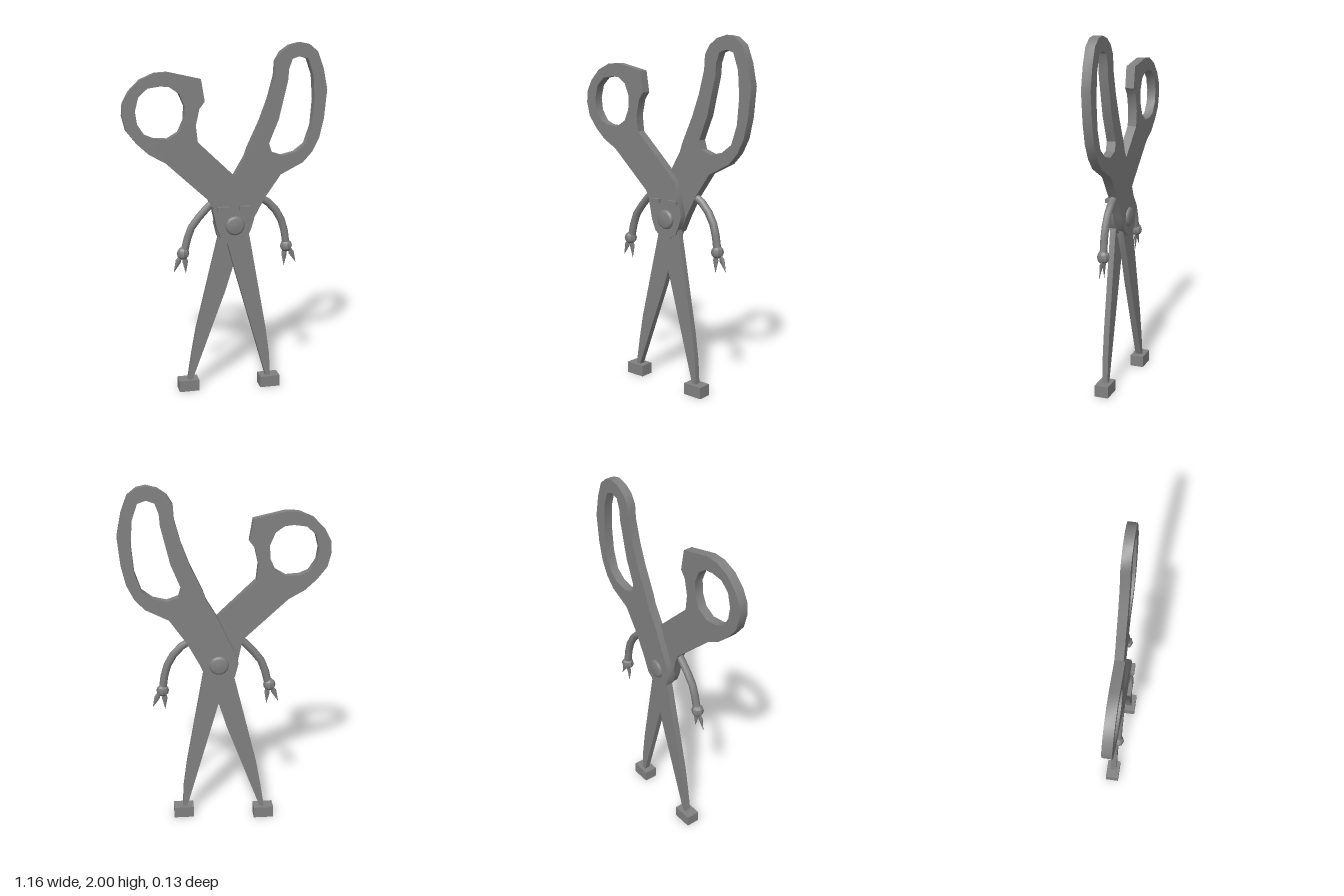
import * as THREE from 'three';
import { toCreasedNormals } from 'three/addons/utils/BufferGeometryUtils.js';

const material = new THREE.MeshStandardMaterial({ color: 0x808080 });
const points = (list) => list.map(([x, y]) => new THREE.Vector2(x, y));

export function createModel() {
  const model = new THREE.Group();
  model.name = 'scissorsFigure';

  function add(name, geometry, x = 0, y = 0, z = 0) {
    const mesh = new THREE.Mesh(geometry, material);
    mesh.name = name;
    mesh.position.set(x, y, z);
    model.add(mesh);
    return mesh;
  }

  // Flat plate cut from an outline, between two depths, with smooth curved rims
  function plate(name, outline, z0, z1, hole) {
    const shape = new THREE.Shape(points(outline));
    if (hole) shape.holes.push(new THREE.Path(points(hole)));
    const geometry = new THREE.ExtrudeGeometry(shape, { depth: z1 - z0, bevelEnabled: false });
    add(name, toCreasedNormals(geometry, 0.65), 0, 0, z0);
  }

  // Front half: thumb handle and the blade below it
  plate('thumbHandle', [
    [0.104, 1.21], [-0.17, 1.47], [-0.18, 1.56], [-0.16, 1.65], [-0.13, 1.69], [-0.15, 1.81],
    [-0.33, 1.85], [-0.4, 1.845], [-0.48, 1.81], [-0.54, 1.75], [-0.575, 1.685], [-0.58, 1.62],
    [-0.56, 1.54], [-0.505, 1.47], [-0.44, 1.41], [-0.35, 1.36], [-0.11, 1.14], [-0.09, 1.1],
    [-0.065, 0.98], [-0.04, 0.92], [0, 0.885], [0.06, 0.88], [0.11, 0.91], [0.135, 0.97], [0.15, 1.02],
  ], -0.01, 0.042, [
    [-0.37, 1.775], [-0.44, 1.765], [-0.49, 1.72], [-0.51, 1.645], [-0.5, 1.575], [-0.46, 1.515],
    [-0.41, 1.495], [-0.335, 1.49], [-0.275, 1.525], [-0.245, 1.59], [-0.24, 1.665], [-0.27, 1.735], [-0.32, 1.77],
  ]);
  plate('frontBlade', [
    [-0.02, 1.0], [0, 0.885], [0.037, 0.745], [0.232, 0.06], [0.258, 0.06], [0.25, 0.2],
    [0.228, 0.36], [0.127, 0.92], [0.1, 1.0],
  ], 0.002, 0.035);

  // Back half: long finger handle and the blade below it
  plate('fingerHandle', [
    [0.42, 2.0], [0.36, 1.985], [0.31, 1.95], [0.28, 1.9], [0.275, 1.82], [0.24, 1.69], [0.195, 1.57],
    [0.125, 1.42], [0.11, 1.375], [0.045, 1.265], [-0.045, 1.07], [-0.07, 1.0], [-0.05, 0.92], [0, 0.88],
    [0.06, 0.885], [0.115, 0.925], [0.155, 1.01], [0.22, 1.13], [0.315, 1.265], [0.445, 1.33],
    [0.5, 1.39], [0.54, 1.47], [0.565, 1.58], [0.58, 1.74], [0.555, 1.86], [0.52, 1.95], [0.47, 1.99],
  ], -0.046, 0.005, [
    [0.42, 1.925], [0.375, 1.91], [0.355, 1.855], [0.35, 1.79], [0.325, 1.685], [0.3, 1.58], [0.245, 1.445],
    [0.26, 1.395], [0.325, 1.372], [0.4, 1.39], [0.46, 1.435], [0.495, 1.54], [0.507, 1.685],
    [0.497, 1.82], [0.465, 1.91],
  ]);
  plate('backBlade', [
    [0.1, 1.0], [0.11, 0.92], [0.04, 0.745], [-0.005, 0.6], [-0.205, 0.06], [-0.23, 0.06],
    [-0.205, 0.22], [-0.178, 0.37], [-0.045, 0.92], [-0.02, 1.0],
  ], -0.035, 0.001);

  // Pivot screw with rounded rims on both faces
  const rim = [[0, -0.063], [0.04, -0.06], [0.05, -0.055], [0.055, -0.046],
    [0.055, 0.046], [0.05, 0.055], [0.04, 0.06], [0, 0.063]];
  add('pivotScrew', new THREE.LatheGeometry(points(rim), 24), 0.04, 0.99, 0).rotation.x = Math.PI / 2;

  // Eyes
  for (const x of [-0.03, 0.095]) add('eye', new THREE.BoxGeometry(0.066, 0.022, 0.025), x, 1.092, 0.051);

  // Feet, each centred under its own blade
  for (const [x, z] of [[-0.225, -0.02], [0.252, 0.02]]) {
    add('foot', new THREE.BoxGeometry(0.117, 0.066, 0.08), x, 0.033, z);
  }

  // Arms with a faceted hand and two flat pointed fingers
  function arm(side, z, path, hand, fingers) {
    const curve = new THREE.CatmullRomCurve3(path.map(([x, y]) => new THREE.Vector3(x, y, z)));
    add(side + 'Arm', new THREE.TubeGeometry(curve, 5, 0.022, 8));
    add(side + 'Hand', toCreasedNormals(new THREE.SphereGeometry(0.036, 8, 6), 0.5), hand[0], hand[1], z);
    for (const [bx, by, tx, ty] of fingers) {
      const length = Math.hypot(tx - bx, ty - by);
      const profile = points([[0.008, 0], [0.018, length * 0.35], [0, length]]);
      const finger = add(side + 'Finger', new THREE.LatheGeometry(profile, 6), bx, by, z);
      finger.rotation.z = Math.atan2(bx - tx, ty - by);
      finger.scale.z = 0.4;
    }
  }
  arm('right', 0.018, [[-0.07, 1.14], [-0.135, 1.075], [-0.21, 0.98], [-0.245, 0.86]], [-0.255, 0.84],
    [[-0.268, 0.83, -0.31, 0.73], [-0.245, 0.83, -0.24, 0.72]]);
  arm('left', -0.018, [[0.19, 1.14], [0.27, 1.085], [0.335, 0.98], [0.358, 0.86]], [0.36, 0.84],
    [[0.35, 0.83, 0.348, 0.72], [0.378, 0.83, 0.42, 0.735]]);

  return model;
}
